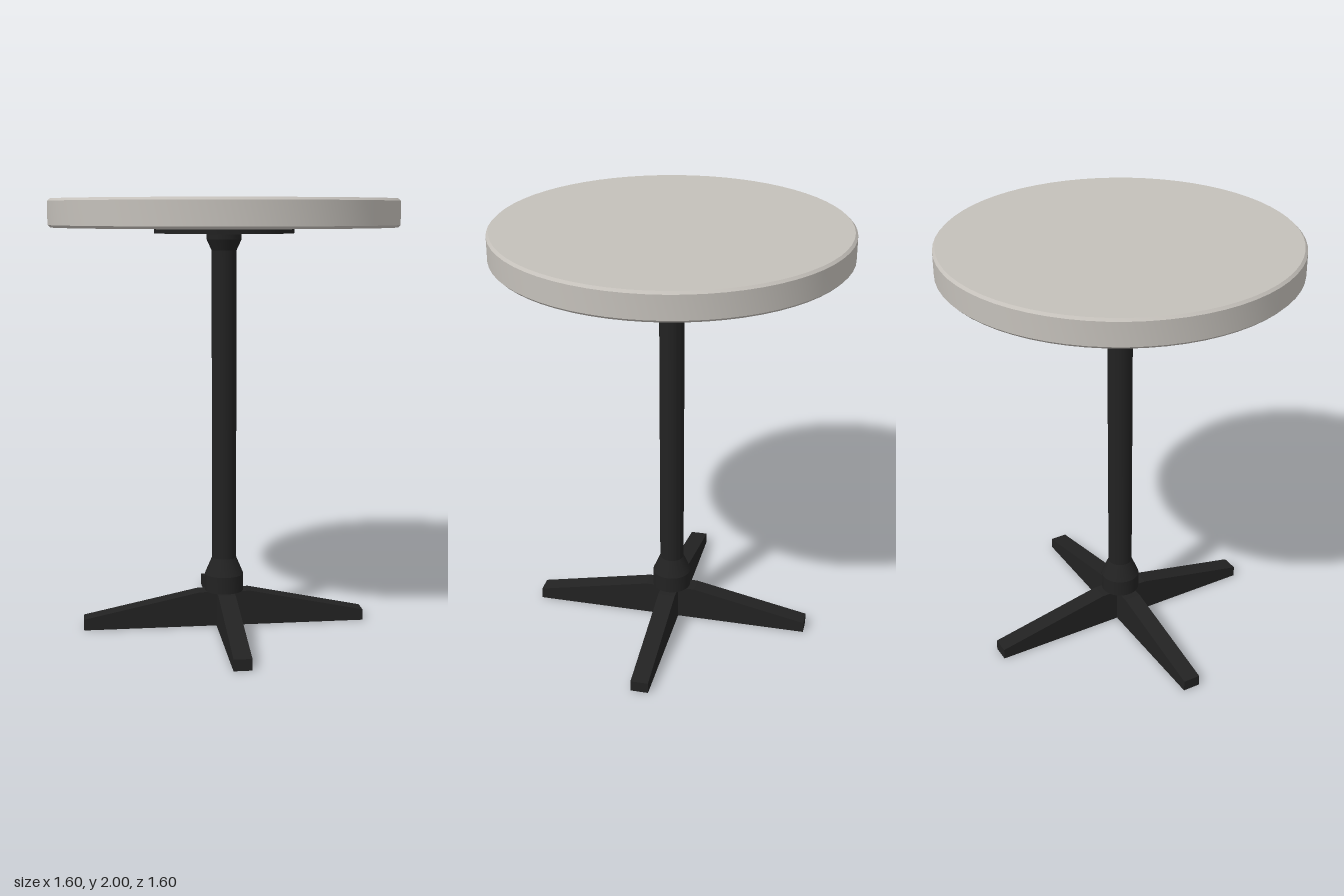
import * as THREE from 'three';
import { toCreasedNormals } from 'three/addons/utils/BufferGeometryUtils.js';

const stone = new THREE.MeshStandardMaterial({ color: 0xc4c0ba });
stone.name = 'warm grey top';
const iron = new THREE.MeshStandardMaterial({ color: 0x222222 });
iron.name = 'black metal';

// Turned part from [radius, y] pairs listed bottom to top, with crisp edges
function turned(name, profile, material, segments = 64) {
  const points = profile.map(([r, y]) => new THREE.Vector2(r, y));
  const geometry = toCreasedNormals(new THREE.LatheGeometry(points, segments), 0.3);
  const mesh = new THREE.Mesh(geometry, material);
  mesh.name = name;
  return mesh;
}

export function createModel() {
  const table = new THREE.Group();
  table.name = 'pedestalTable';

  // Round top with a small bevel on both rims
  table.add(turned('tableTop', [
    [0, 1.872], [0.787, 1.872], [0.798, 1.883], [0.798, 1.989], [0.787, 2], [0, 2],
  ], stone));

  // Mounting plate under the top
  table.add(turned('mountingPlate', [
    [0, 1.845], [0.32, 1.845], [0.32, 1.872], [0, 1.872],
  ], iron));

  // Column with a wide hub at the foot and a flared collar at the head
  table.add(turned('column', [
    [0, 0.165], [0.091, 0.165], [0.091, 0.245], [0.057, 0.325],
    [0.057, 1.767], [0.08, 1.817], [0.08, 1.845], [0, 1.845],
  ], iron, 48));

  // Four tapering feet on the diagonals
  const width = 0.082;
  const side = new THREE.Shape([
    [0, 0], [0.666, 0], [0.666, 0.052], [0.12, 0.165], [0, 0.165],
  ].map(([x, y]) => new THREE.Vector2(x, y)));
  const legGeometry = new THREE.ExtrudeGeometry(side, { depth: width, bevelEnabled: false });
  legGeometry.translate(0, 0, -width / 2);
  const base = new THREE.Group();
  base.name = 'base';
  for (let i = 0; i < 4; i++) {
    const leg = new THREE.Mesh(legGeometry, iron);
    leg.name = `leg${i + 1}`;
    leg.rotation.y = Math.PI / 4 + (i * Math.PI) / 2;
    base.add(leg);
  }
  table.add(base);

  return table;
}
